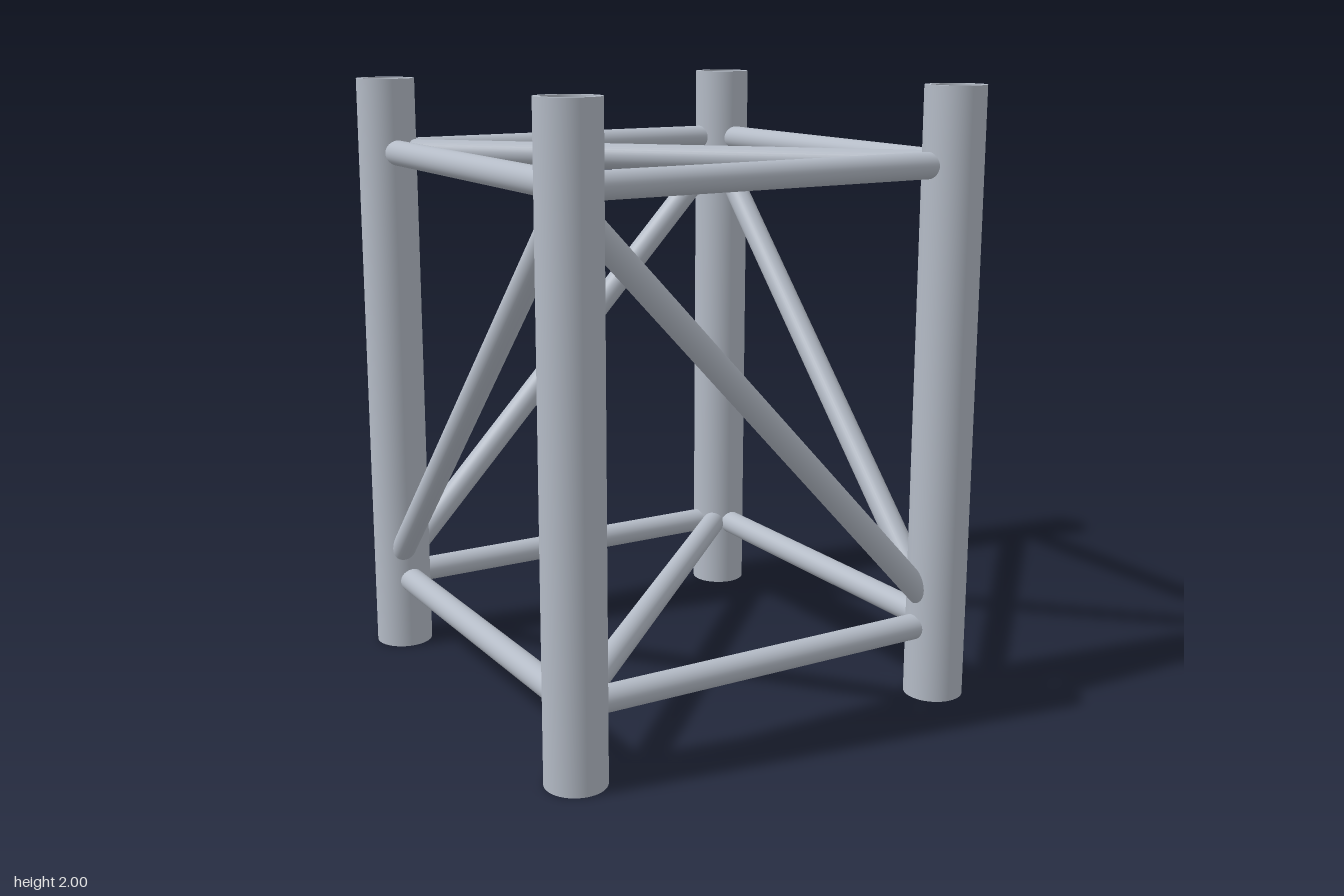
import * as THREE from 'three';
import { mergeGeometries } from 'three/addons/utils/BufferGeometryUtils.js';

const P = 0.672;              // post centre offset
const R = 0.097, RI = 0.078;  // post outer and inner radius
const BAR = 0.042;            // brace radius
const LOW = 0.245, HIGH = 1.755;

export function createModel() {
  const group = new THREE.Group();
  const steel = new THREE.MeshStandardMaterial({ color: 0xb4bbc6 });
  steel.name = 'steel';

  // Hollow post: one lathe per profile edge keeps the rims sharp
  const profile = [[R, 0], [R, 2], [RI, 2], [RI, 0]].map(p => new THREE.Vector2(...p));
  const postGeo = mergeGeometries(
    profile.map((p, i) => new THREE.LatheGeometry([p, profile[(i + 1) % 4]], 48)));
  const posts = new THREE.Group();
  posts.name = 'posts';
  for (const x of [-P, P]) for (const z of [-P, P]) {
    const post = new THREE.Mesh(postGeo, steel);
    post.name = 'post';
    post.position.set(x, 0, z);
    posts.add(post);
  }
  group.add(posts);

  // Round bar between two points
  const addBar = (name, a, b) => {
    const start = new THREE.Vector3(...a), end = new THREE.Vector3(...b);
    const dir = end.clone().sub(start);
    const bar = new THREE.Mesh(new THREE.CylinderGeometry(BAR, BAR, dir.length(), 32), steel);
    bar.name = name;
    bar.position.copy(start).add(end).multiplyScalar(0.5);
    bar.quaternion.setFromUnitVectors(new THREE.Vector3(0, 1, 0), dir.normalize());
    group.add(bar);
  };

  // Horizontal rails on all four sides, at two levels
  const E = 0.713;
  for (const y of [LOW, HIGH]) for (const s of [-P, P]) {
    addBar('crossRail', [-E, y, s], [E, y, s]);
    addBar('sideRail', [s, y, -E], [s, y, E]);
  }

  // One sloping brace per side
  const D = 0.65, T = 1.69, B = 0.31;
  addBar('frontBrace', [-D, T, P], [D, B, P]);
  addBar('backBrace', [-D, B, -P - 0.005], [D, T, -P - 0.005]);
  addBar('rightSideBrace', [P - 0.02, B, D], [P - 0.02, T, -D]);
  addBar('leftSideBrace', [-P - 0.02, T, D], [-P - 0.02, B, -D]);

  // Horizontal diagonals, crossing in plan
  addBar('topDiagonal', [-P, HIGH, -P], [P, HIGH, P]);
  addBar('bottomDiagonal', [-P, LOW, P], [P, LOW, -P]);

  return group;
}
